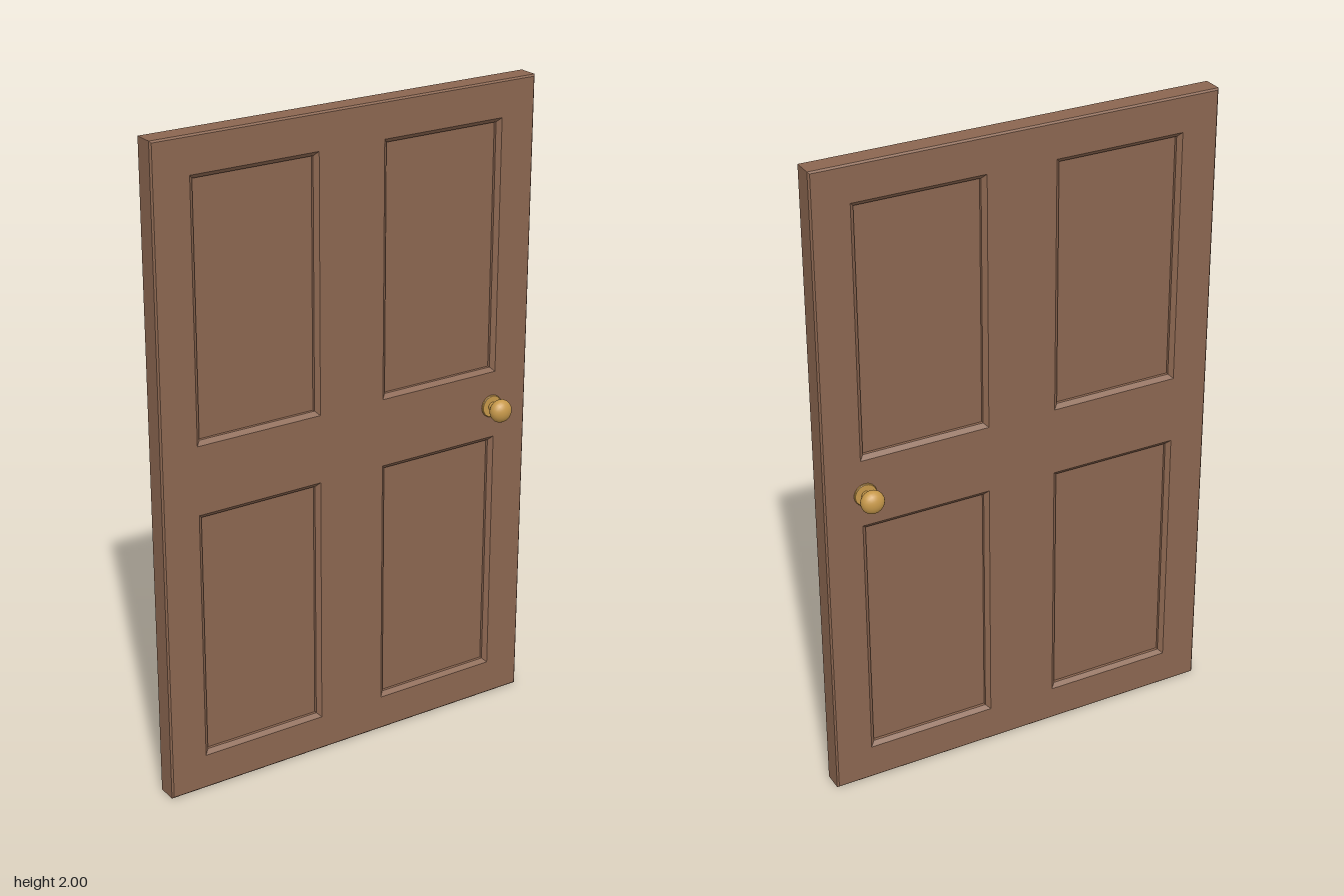
import * as THREE from 'three';

const W = 1.26, H = 2, HALF = 0.035, EDGE = 0.005; // slab size and edge chamfer
const PW = 0.406, PH = 0.783;                      // panel opening
const PANELS = [-0.311, 0.311].flatMap(x => [0.503, 1.498].map(y => [x, y]));

// Flat-faced wall through rectangles [width, height, z]; faces outward when z rises, inward when it falls
function rectLoft(rings) {
  const pos = [];
  const corners = ([w, h, z]) => [[-1, -1], [1, -1], [1, 1], [-1, 1]].map(([x, y]) => [x * w / 2, y * h / 2, z]);
  for (let i = 0; i < rings.length - 1; i++) {
    const a = corners(rings[i]), b = corners(rings[i + 1]);
    for (let j = 0; j < 4; j++) {
      const k = (j + 1) % 4;
      pos.push(...a[j], ...a[k], ...b[k], ...a[j], ...b[k], ...b[j]);
    }
  }
  const g = new THREE.BufferGeometry();
  g.setAttribute('position', new THREE.Float32BufferAttribute(pos, 3));
  g.computeVertexNormals();
  return g;
}

function rectPoints(cx, cy, w, h) {
  return [[-1, -1], [1, -1], [1, 1], [-1, 1]].map(([x, y]) => new THREE.Vector2(cx + x * w / 2, cy + y * h / 2));
}

export function createModel() {
  const wood = new THREE.MeshStandardMaterial({ color: 0x8b6650 });
  wood.name = 'brownWood';
  const brass = new THREE.MeshStandardMaterial({ color: 0xc6984a });
  brass.name = 'brass';

  const door = new THREE.Group();
  door.name = 'door';
  const add = (parent, name, geometry, material, x = 0, y = 0, z = 0) => {
    const mesh = new THREE.Mesh(geometry, material);
    mesh.name = name;
    mesh.position.set(x, y, z);
    parent.add(mesh);
    return mesh;
  };

  // Chamfered outer edge of the slab
  const wc = W - 2 * EDGE, hc = H - 2 * EDGE;
  add(door, 'slabEdge', rectLoft([
    [wc, hc, -HALF], [W, H, -HALF + EDGE], [W, H, HALF - EDGE], [wc, hc, HALF],
  ]), wood, 0, H / 2);

  // Stiles and rails as one face with four openings
  const face = new THREE.Shape(rectPoints(0, H / 2, wc, hc));
  for (const [x, y] of PANELS) face.holes.push(new THREE.Path(rectPoints(x, y, PW, PH).reverse()));
  const faceGeo = new THREE.ShapeGeometry(face);

  // Sloped moulding, then a short straight wall down to the panel
  const m = 0.026, depth = 0.02;
  const mouldingGeo = rectLoft([
    [PW, PH, HALF], [PW - m, PH - m, HALF - 0.011], [PW - m, PH - m, HALF - depth],
  ]);
  const panelGeo = new THREE.PlaneGeometry(PW - m, PH - m);

  // Rosette, neck and flattened round knob
  const profile = [[0.035, HALF], [0.035, 0.039], [0.033, 0.041], [0.014, 0.041], [0.014, 0.058]];
  const baseGeo = new THREE.LatheGeometry(profile.map(p => new THREE.Vector2(...p)), 24).toNonIndexed();
  baseGeo.computeVertexNormals();
  const knobGeo = new THREE.SphereGeometry(0.036, 20, 14).scale(1, 0.028 / 0.036, 1);

  // Both sides are alike
  for (const [side, dir] of [['front', 1], ['back', -1]]) {
    const half = new THREE.Group();
    half.name = side + 'Side';
    half.rotation.y = dir > 0 ? 0 : Math.PI;
    door.add(half);
    add(half, 'frameFace', faceGeo, wood, 0, 0, HALF);
    for (const [x, y] of PANELS) {
      add(half, 'panelMoulding', mouldingGeo, wood, x, y);
      add(half, 'panel', panelGeo, wood, x, y, HALF - depth);
    }
    const handle = new THREE.Group();
    handle.name = side + 'Handle';
    handle.position.set(0.503 * dir, 0.997, 0);
    handle.rotation.x = Math.PI / 2;
    half.add(handle);
    add(handle, 'handleBase', baseGeo, brass);
    add(handle, 'knob', knobGeo, brass, 0, 0.083, 0);
  }
  return door;
}
